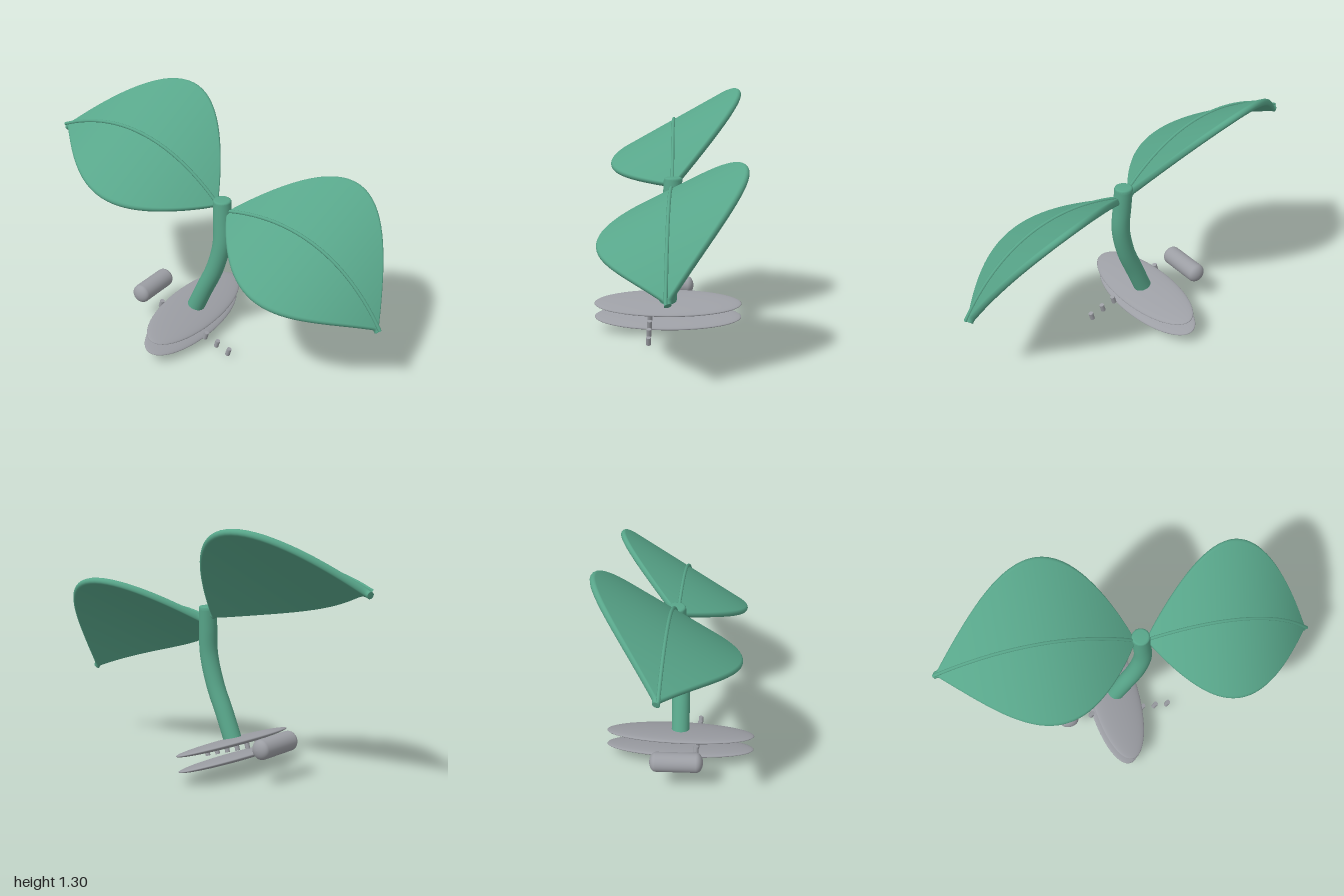
import * as THREE from 'three';

const V = (x, y, z) => new THREE.Vector3(x, y, z);
const green = new THREE.MeshStandardMaterial({ color: 0x58a68a });
green.name = 'leafGreen';
const grey = new THREE.MeshStandardMaterial({ color: 0x9c9ea4 });
grey.name = 'metalGrey';

const BASE_TILT = -0.28;

function add(group, name, geometry, material) {
  const mesh = new THREE.Mesh(geometry, material);
  mesh.name = name;
  group.add(mesh);
  return mesh;
}

// A leaf is a tilted blade arched along its chord, with a raised midrib.
// Both leaves run from low x to high x; tipFirst tells which end is the tip.
function makeLeaf(start, end, tipFirst, name) {
  const leaf = new THREE.Group();
  leaf.name = name;
  const chord = end.clone().sub(start);
  const up = V(-chord.y, chord.x, 0).normalize();
  const across = V(0, 0, Math.cos(Math.PI / 6)).addScaledVector(up, -0.5);
  const arch = 0.18, halfWidth = 0.415, half = 0.018;
  const rows = 48, arc = 8, ring = 2 * (arc + 1);

  const frame = (t) => {
    const p = start.clone().addScaledVector(chord, t).addScaledVector(up, 4 * arch * t * (1 - t));
    const tangent = chord.clone().addScaledVector(up, 4 * arch * (1 - 2 * t));
    return { p, n: across.clone().cross(tangent).normalize() };
  };

  // rounded cross-sections lofted along the arch
  const pos = [], idx = [];
  for (let i = 0; i <= rows; i++) {
    const t = (1 - Math.cos((Math.PI * i) / rows)) / 2;
    const { p, n } = frame(t);
    const s = tipFirst ? 1 - t : t;
    const w = Math.max(halfWidth * Math.sin(Math.PI * Math.pow(s, 0.9)) - half, 0);
    for (let j = 0; j < ring; j++) {
      const side = j <= arc ? 1 : -1;
      const a = -Math.PI / 2 + (Math.PI * (j <= arc ? j : j - 1)) / arc;
      const q = p.clone()
        .addScaledVector(across, side * w + half * Math.cos(a))
        .addScaledVector(n, half * Math.sin(a));
      pos.push(q.x, q.y, q.z);
      if (i < rows) {
        const k = (j + 1) % ring, a0 = i * ring + j, c0 = i * ring + k;
        idx.push(a0, a0 + ring, c0, a0 + ring, c0 + ring, c0);
      }
    }
  }
  // end caps
  for (let j = 1; j < ring - 1; j++) {
    const e = rows * ring;
    idx.push(0, j, j + 1, e, e + j + 1, e + j);
  }
  const blade = new THREE.BufferGeometry();
  blade.setAttribute('position', new THREE.Float32BufferAttribute(pos, 3));
  blade.setIndex(idx);
  blade.computeVertexNormals();
  add(leaf, 'blade', blade, green);

  // midrib
  const ribPoints = [];
  for (let i = 0; i <= 16; i++) {
    const { p, n } = frame(i / 16);
    ribPoints.push(p.addScaledVector(n, half + 0.004));
  }
  add(leaf, 'midrib', new THREE.TubeGeometry(new THREE.CatmullRomCurve3(ribPoints), 48, 0.009, 8), green);
  return leaf;
}

export function createModel() {
  const model = new THREE.Group();
  model.name = 'sproutHairClip';

  model.add(makeLeaf(V(-0.99, 1.01, -0.035), V(0.01, 0.815, -0.035), true, 'rightLeaf'));
  model.add(makeLeaf(V(0.075, 0.79, -0.035), V(0.975, 0.42, -0.02), false, 'leftLeaf'));

  // curved stem with a flat top
  const stemCurve = new THREE.CatmullRomCurve3([
    V(-0.11, 0.16, 0), V(-0.05, 0.3, -0.002), V(0.015, 0.45, -0.007),
    V(0.053, 0.61, -0.015), V(0.05, 0.75, -0.024), V(0.045, 0.855, -0.03),
  ]);
  add(model, 'stem', new THREE.TubeGeometry(stemCurve, 40, 0.048, 24), green);
  const top = add(model, 'stemTop', new THREE.LatheGeometry(
    [[0.048, -0.01], [0.048, 0.003], [0.044, 0.009], [0.037, 0.012], [0, 0.012]]
      .map(([x, y]) => new THREE.Vector2(x, y)), 24), green);
  top.position.set(0.045, 0.855, -0.03);

  // two oval clip plates
  [['upperPlate', -0.112, 0.158], ['lowerPlate', -0.13, 0.08]].forEach(([name, x, y]) => {
    const plate = add(model, name, new THREE.SphereGeometry(1, 48, 24), grey);
    plate.scale.set(0.142, 0.022, 0.4);
    plate.rotation.z = BASE_TILT;
    plate.position.set(x, y, 0);
  });

  // row of small pegs
  for (let i = 0; i < 7; i++) {
    const peg = add(model, 'peg', new THREE.CylinderGeometry(0.013, 0.013, 0.042, 16), grey);
    peg.rotation.z = BASE_TILT;
    peg.position.set(-0.27 + 0.074 * i, 0.172 - 0.0241 * i, 0.095);
  }

  // hinge barrel with domed ends
  const profile = [];
  for (let i = 0; i <= 16; i++) {
    const a = -Math.PI / 2 + (Math.PI * i) / 16;
    const end = i < 8 ? -1 : 1;
    profile.push(new THREE.Vector2(0.052 * Math.cos(a), end * 0.105 + 0.035 * Math.sin(a)));
    if (i === 8) profile.splice(8, 0, new THREE.Vector2(0.052, -0.105));
  }
  const barrel = add(model, 'hingeBarrel', new THREE.LatheGeometry(profile, 32), grey);
  barrel.rotation.x = Math.PI / 2 - 0.03;
  barrel.position.set(-0.4, 0.193, 0);

  return model;
}
